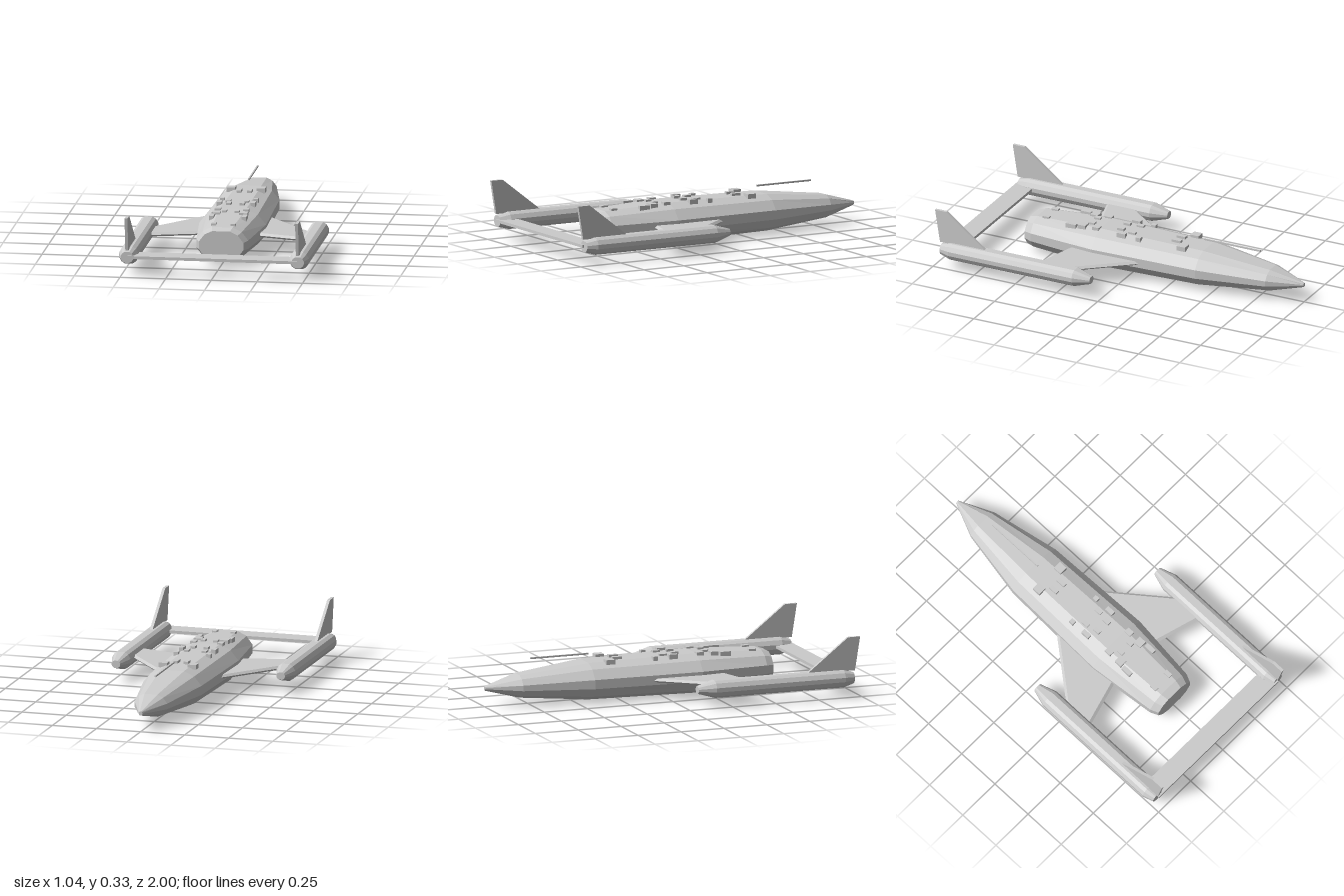
import * as THREE from 'three';

const mat = new THREE.MeshStandardMaterial({ color: 0xcccccc, flatShading: true });

function add(parent, name, geo, x = 0, y = 0, z = 0) {
  const m = new THREE.Mesh(geo, mat);
  m.name = name;
  m.position.set(x, y, z);
  parent.add(m);
  return m;
}

// Skin a list of equal-length point rings and close both ends
function loft(rings) {
  const pos = [];
  const tri = (...pts) => pts.forEach((p) => pos.push(...p));
  const n = rings[0].length;
  for (let r = 0; r < rings.length - 1; r++) {
    const a = rings[r], b = rings[r + 1];
    for (let i = 0; i < n; i++) {
      const j = (i + 1) % n;
      tri(a[i], a[j], b[j]);
      tri(a[i], b[j], b[i]);
    }
  }
  const first = rings[0], last = rings[rings.length - 1];
  for (let i = 1; i < n - 1; i++) {
    tri(first[0], first[i + 1], first[i]);
    tri(last[0], last[i], last[i + 1]);
  }
  const g = new THREE.BufferGeometry();
  g.setAttribute('position', new THREE.Float32BufferAttribute(pos, 3));
  g.computeVertexNormals();
  return g;
}

// Twelve-sided rounded section, counter-clockwise seen from +z
const quarter = [[1, 0.25], [0.75, 0.75], [0.4, 1]];
const section = [
  ...quarter,
  ...quarter.map(([x, y]) => [-x, y]).reverse(),
  ...quarter.map(([x, y]) => [-x, -y]),
  ...quarter.map(([x, y]) => [x, -y]).reverse(),
];
// Station: z, half width, bottom, top
const ring = ([z, w, y0, y1]) =>
  section.map(([x, y]) => [x * w, (y0 + y1) / 2 + (y * (y1 - y0)) / 2, z]);

// Wing section with bevelled edges, counter-clockwise seen from +x
const wingRing = (x, lead, trail) => [
  [x, 0.108, lead], [x, 0.12, lead + 0.02], [x, 0.12, trail - 0.015],
  [x, 0.108, trail], [x, 0.097, trail - 0.015], [x, 0.097, lead + 0.02],
];

export function createModel() {
  const ship = new THREE.Group();
  ship.name = 'spaceship';

  // Main hull, nose towards -z
  add(ship, 'hull', loft([
    [-1, 0.01, 0.092, 0.115],
    [-0.81, 0.092, 0.045, 0.168],
    [-0.42, 0.165, 0.011, 0.212],
    [0.2, 0.183, 0.002, 0.22],
    [0.59, 0.142, 0.02, 0.205],
    [0.635, 0.122, 0.03, 0.192],
  ].map(ring)));

  // Antenna above the nose
  add(ship, 'antenna', new THREE.BoxGeometry(0.008, 0.009, 0.34), 0, 0.25, -0.565);

  // Fin outline, drawn as (z, y)
  const finShape = new THREE.Shape([
    [0.69, 0.145], [0.97, 0.145], [1, 0.33], [0.93, 0.33],
  ].map(([z, y]) => new THREE.Vector2(-z, y)));

  // Deck blocks: x, width, z start, z end, top
  const blocks = [
    [0.082, 0.047, -0.33, -0.28, 0.228],
    [0.029, 0.025, -0.27, -0.217, 0.228],
    [0.092, 0.025, -0.058, -0.03, 0.226],
    [0.05, 0.025, -0.005, 0.037, 0.228],
    [0.092, 0.025, 0.035, 0.085, 0.23],
    [0.037, 0.025, 0.07, 0.11, 0.232],
    [0.077, 0.032, 0.2, 0.24, 0.228],
    [0.035, 0.025, 0.25, 0.285, 0.228],
    [0.075, 0.045, 0.28, 0.325, 0.226],
    [0.09, 0.025, 0.335, 0.395, 0.222],
    [0.053, 0.025, 0.515, 0.555, 0.216],
  ];

  for (const s of [1, -1]) {
    const side = new THREE.Group();
    side.name = s > 0 ? 'leftSide' : 'rightSide';
    ship.add(side);

    // Swept wing reaching into hull and nacelle
    const wing = [wingRing(s * 0.12, -0.15, 0.327), wingRing(s * 0.44, 0.25, 0.418)];
    add(side, 'wing', loft(s > 0 ? wing : wing.reverse()));

    // Engine nacelle
    add(side, 'nacelle', loft([
      [0.055, 0.024, 0.085, 0.125],
      [0.15, 0.053, 0.058, 0.152],
      [0.9, 0.053, 0.058, 0.152],
      [0.96, 0.034, 0.075, 0.135],
    ].map(ring)), s * 0.467);

    // Vertical fin
    const fin = new THREE.ExtrudeGeometry(finShape, { depth: 0.016, bevelEnabled: false });
    fin.translate(0, 0, -0.008).rotateY(Math.PI / 2);
    add(side, 'fin', fin, s * 0.467);

    // Raised blocks on the deck
    for (const [x, w, z0, z1, top] of blocks) {
      add(side, 'deckBlock', new THREE.BoxGeometry(w, 0.026, z1 - z0), s * x, top - 0.013, (z0 + z1) / 2);
    }
  }

  // Bar joining the nacelle tails
  add(ship, 'tailBar', new THREE.BoxGeometry(0.93, 0.016, 0.11), 0, 0.107, 0.915);

  return ship;
}
